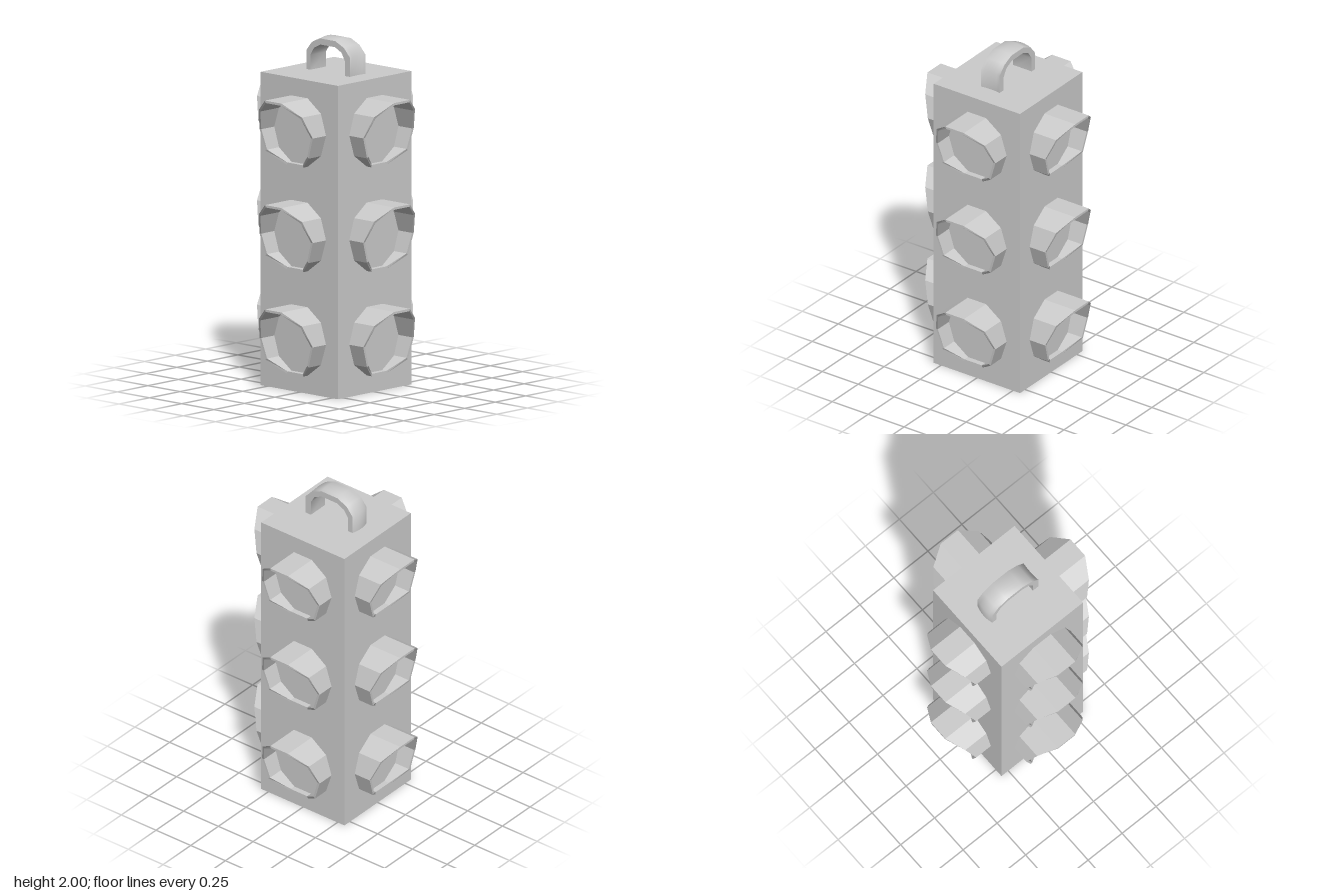
import * as THREE from 'three';
import { toCreasedNormals } from 'three/addons/utils/BufferGeometryUtils.js';

const grey = new THREE.MeshStandardMaterial({ color: 0xcccccc, flatShading: true });
const smoothGrey = new THREE.MeshStandardMaterial({ color: 0xcccccc, side: THREE.DoubleSide });

const HALF = 0.3, HEIGHT = 1.8, SIDES = 10, R_OUT = 0.207, R_IN = 0.193;

function polygon(radius) {
  return Array.from({ length: SIDES }, (_, i) => {
    const a = (i / SIDES) * Math.PI * 2;
    return new THREE.Vector2(radius * Math.cos(a), radius * Math.sin(a));
  });
}

// Ten-sided hood: an extruded ring whose front edge is longest at the top
function visorGeometry() {
  const shape = new THREE.Shape(polygon(R_OUT));
  shape.holes.push(new THREE.Path(polygon(R_IN)));
  const geo = new THREE.ExtrudeGeometry(shape, { depth: 1, bevelEnabled: false });
  const reach = [0.335, 0.4, 0.408, 0.455, 0.514]; // bottom row to top row
  const p = geo.attributes.position;
  for (let i = 0; i < p.count; i++) {
    const x = p.getX(i), y = p.getY(i);
    const row = Math.round(Math.asin(y / Math.hypot(x, y)) / (Math.PI / 5));
    p.setZ(i, p.getZ(i) > 0.5 ? reach[row + 2] : HALF - 0.005);
  }
  geo.computeVertexNormals();
  return geo;
}

// Arched strap with a flat inside and a slightly crowned outside
function handleGeometry() {
  // outer x, outer y, inner x, inner y, crown x, crown y
  const path = [
    [-0.169, 1.79, -0.139, 1.79, -0.011, 0],
    [-0.169, 1.91, -0.139, 1.885, -0.011, 0.003],
    [-0.128, 1.96, -0.11, 1.93, -0.007, 0.007],
    [-0.062, 1.99, -0.06, 1.955, -0.002, 0.01],
    [0.055, 1.99, 0.053, 1.955, 0, 0.01],
    [0.122, 1.96, 0.104, 1.93, 0, 0.007],
    [0.169, 1.91, 0.13, 1.885, -0.005, 0.003],
    [0.169, 1.79, 0.13, 1.79, -0.005, 0],
  ];
  const half = 0.064, steps = 6, ring = steps + 3;
  const pos = [], index = [];
  path.forEach(([ox, oy, ix, iy, cx, cy]) => {
    pos.push(ix, iy, -half, ix, iy, half);
    for (let s = 0; s <= steps; s++) {
      const t = 1 - (2 * s) / steps, bulge = 1 - t * t;
      pos.push(ox + cx * bulge, oy + cy * bulge, half * t);
    }
  });
  for (let i = 0; i < path.length - 1; i++) {
    for (let j = 0; j < ring; j++) {
      const k = (j + 1) % ring;
      const a = i * ring + j, b = i * ring + k, c = a + ring, d = b + ring;
      index.push(a, c, b, b, c, d);
    }
  }
  const geo = new THREE.BufferGeometry();
  geo.setAttribute('position', new THREE.Float32BufferAttribute(pos, 3));
  geo.setIndex(index);
  return toCreasedNormals(geo, 0.8);
}

export function createModel() {
  const model = new THREE.Group();
  const add = (parent, name, geo, material = grey) => {
    const mesh = new THREE.Mesh(geo, material);
    mesh.name = name;
    parent.add(mesh);
    return mesh;
  };

  add(model, 'housing', new THREE.BoxGeometry(HALF * 2, HEIGHT, HALF * 2)).position.y = HEIGHT / 2;
  add(model, 'handle', handleGeometry(), smoothGrey);

  // Three hooded lamps on each of the four sides
  const visor = visorGeometry();
  const lens = new THREE.CircleGeometry(R_IN, SIDES);
  ['front', 'left', 'back', 'right'].forEach((side, i) => {
    const face = new THREE.Group();
    face.name = side + 'Lamps';
    face.rotation.y = (i * Math.PI) / 2;
    [0.3, 0.9, 1.5].forEach((y) => {
      add(face, 'visor', visor).position.y = y;
      add(face, 'lens', lens).position.set(0, y, HALF + 0.002);
    });
    model.add(face);
  });
  return model;
}
